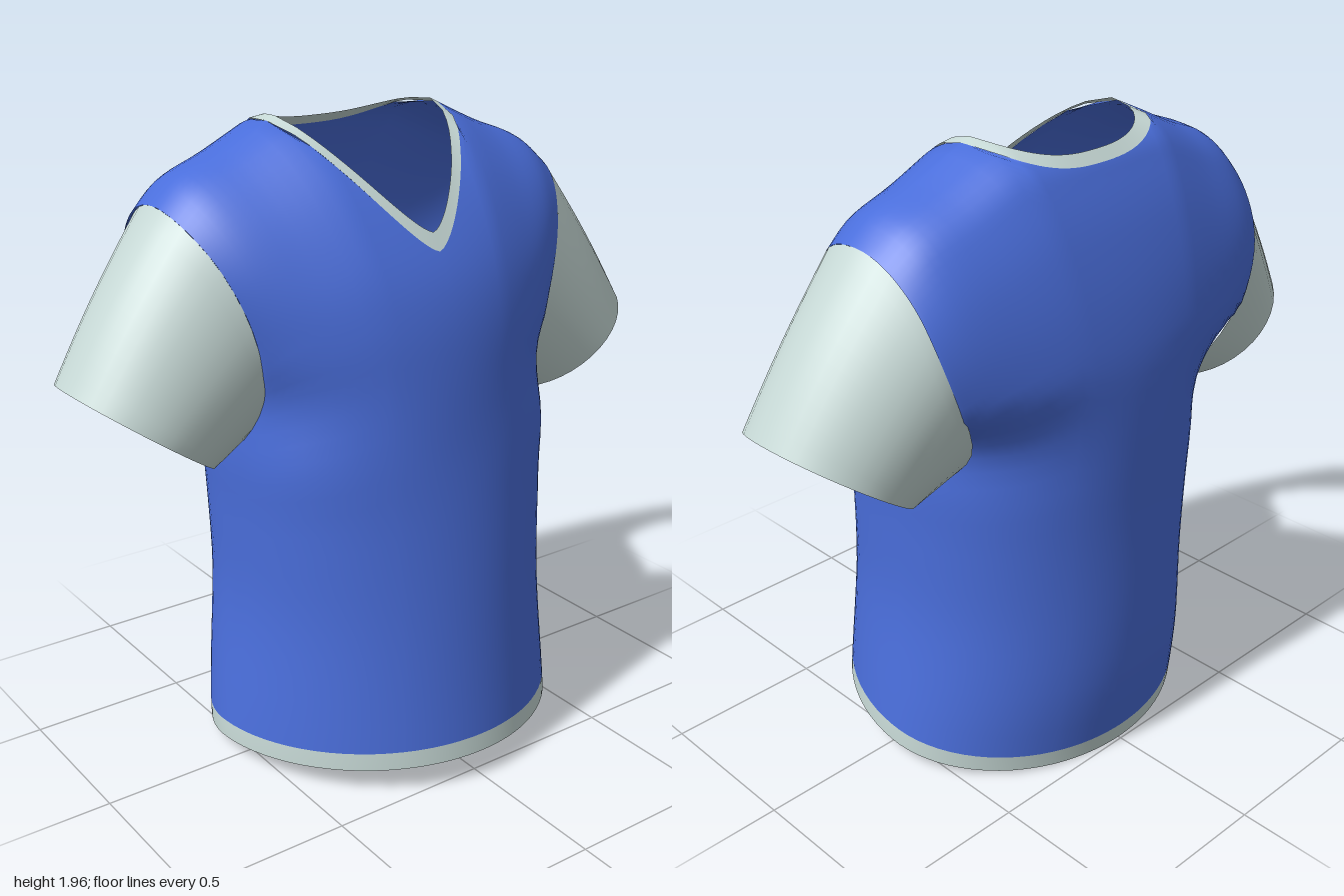
import * as THREE from 'three';
import { mergeGeometries, mergeVertices } from 'three/addons/utils/BufferGeometryUtils.js';

const { lerp, smoothstep, clamp } = THREE.MathUtils;

// Smooth curve through [key, value] pairs
function curve(pts) {
  const slope = (i) => {
    const a = pts[Math.max(i - 1, 0)], b = pts[Math.min(i + 1, pts.length - 1)];
    return (b[1] - a[1]) / (b[0] - a[0]);
  };
  return (k) => {
    k = clamp(k, pts[0][0], pts[pts.length - 1][0]);
    let i = 0;
    while (i < pts.length - 2 && k > pts[i + 1][0]) i++;
    const h = pts[i + 1][0] - pts[i][0], t = (k - pts[i][0]) / h;
    const t2 = t * t, t3 = t2 * t;
    return (2 * t3 - 3 * t2 + 1) * pts[i][1] + (t3 - 2 * t2 + t) * h * slope(i)
      + (3 * t2 - 2 * t3) * pts[i + 1][1] + (t3 - t2) * h * slope(i + 1);
  };
}

// Sheet of quads: point(i, j) for columns 0..n and rows 0..m
function sheet(n, m, point, flip) {
  const pos = [], idx = [];
  for (let j = 0; j <= m; j++) for (let i = 0; i <= n; i++) pos.push(...point(i, j));
  for (let j = 0; j < m; j++) for (let i = 0; i < n; i++) {
    const a = j * (n + 1) + i, b = a + 1, c = a + n + 1, d = c + 1;
    if (flip) idx.push(a, d, b, a, c, d);
    else idx.push(a, b, d, a, d, c);
  }
  const g = new THREE.BufferGeometry();
  g.setAttribute('position', new THREE.Float32BufferAttribute(pos, 3));
  g.setIndex(idx);
  return g;
}

// Weld sheets together with smooth normals
function weld(sheets) {
  const g = mergeVertices(mergeGeometries(sheets), 1e-4);
  g.computeVertexNormals();
  return g;
}

// Shirt proportions: half width, shoulder line, front and back depth
const halfWidth = curve([[0, 0.57], [0.1, 0.565], [0.5, 0.515], [0.8, 0.515], [1.0, 0.525],
  [1.25, 0.515], [1.4, 0.54], [1.6, 0.61], [1.75, 0.685]]);
const shoulderCurve = curve([[0.41, 1.96], [0.66, 1.88], [0.88, 1.82], [1, 1.75]]);
const depth = {
  front: curve([[0, 0.55], [0.09, 0.54], [0.6, 0.475], [1.0, 0.42], [1.34, 0.38], [1.5, 0.34],
    [1.63, 0.275], [1.78, 0.165], [1.88, 0.055], [1.94, -0.05], [1.96, -0.125]]),
  back: curve([[0, -0.49], [0.3, -0.53], [0.8, -0.535], [1.3, -0.545], [1.5, -0.515], [1.7, -0.45],
    [1.84, -0.38], [1.91, -0.325], [1.95, -0.23], [1.96, -0.125]]),
};
// How rounded each cross-section is; lower is boxier
const roundness = {
  front: curve([[0, 0.53], [0.1, 0.52], [0.5, 0.44], [0.85, 0.38], [1.1, 0.38], [1.35, 0.75], [1.75, 0.8]]),
  back: curve([[0, 0.52], [0.1, 0.51], [0.5, 0.45], [1.1, 0.43], [1.35, 0.65], [1.75, 0.7]]),
};
const ARM = { y: 1.385, z: -0.125, ry: 0.365, rz: 0.295 };
const INNER = 0.41, OUTER = 0.45, HEM = 0.055;

// The rear edge of the armhole sits further out than the front edge
const rearFlare = (y) => 0.075 * Math.sin(Math.PI * clamp((y - 1.15) / 0.6, 0, 1));

// Point on the torso; s runs -1..1 across the panel
function torsoPoint(side, s, y) {
  const a = Math.abs(s);
  const k = Math.max(0, (y - 1.1) / (shoulderCurve(a) - 1.1));
  const yArm = y < 1.1 ? y : 1.1 + k * 0.65;
  const yMid = y < 1.1 ? y : 1.1 + k * 0.86;
  const front = side === 'front';
  const open = smoothstep(yArm, 1.05, 1.32);
  const arc = Math.sqrt(Math.max(0, 1 - ((yArm - ARM.y) / ARM.ry) ** 2));
  const zEdge = lerp(-0.04, ARM.z + (front ? 1 : -1) * ARM.rz * arc, open);
  const z = lerp(zEdge, depth[side](yMid), Math.max(0, 1 - s * s) ** roundness[side](yArm));
  const width = halfWidth(yArm) + (front ? 0 : rearFlare(yArm) * a * a);
  return [s * width, y, z];
}

const hemY = (side, s) =>
  0.05 + (side === 'front' ? 0.04 : -0.05) * Math.sqrt(Math.max(0, 1 - s * s));

// Neckline height at fraction f from the centre to the shoulder; V in front, round behind
function neckY(side, f, outer) {
  const end = shoulderCurve(outer ? OUTER : INNER);
  if (side === 'front') return lerp(outer ? 1.605 : 1.655, end, f ** 1.45);
  return lerp(outer ? 1.88 : 1.91, end, f ** 2.6);
}

// Columns crowd toward the side seams and meet the collar corner exactly
const half = [];
for (let i = 0; i <= 9; i++) half.push(OUTER * i / 9);
const a0 = Math.asin(OUTER);
for (let i = 1; i <= 14; i++) half.push(Math.sin(lerp(a0, Math.PI / 2, i / 14)));
const columns = [...half.slice(1).reverse().map((s) => -s), ...half];

const SIDES = ['front', 'back'];

function torso() {
  const rows = 40;
  return weld(SIDES.map((side) => sheet(columns.length - 1, rows, (i, j) => {
    const s = columns[i], a = Math.abs(s);
    const top = a < OUTER ? neckY(side, a / OUTER, true) : shoulderCurve(a);
    const rise = 1 - (1 - j / rows) ** 1.8;
    return torsoPoint(side, s, lerp(hemY(side, s) + HEM, top, rise));
  }, side === 'back')));
}

function hemBand() {
  return weld(SIDES.map((side) => sheet(columns.length - 1, 2, (i, j) =>
    torsoPoint(side, columns[i], hemY(side, columns[i]) + HEM * j / 2), side === 'back')));
}

function collar() {
  const n = 36;
  return weld(SIDES.map((side) => sheet(n, 1, (i, j) => {
    const f = i / n * 2 - 1;
    return torsoPoint(side, f * (j ? INNER : OUTER), neckY(side, Math.abs(f), j === 0));
  }, side === 'back')));
}

// Sleeve lofted straight from the armhole to the tilted cuff ring
function sleeve(mirror) {
  const n = 40, m = 10;
  return weld([sheet(n, m, (i, j) => {
    const t = j / m, angle = i / n * Math.PI * 2;
    const c = Math.cos(angle), s = Math.sin(angle);
    const y0 = ARM.y + ARM.ry * s;
    const x0 = halfWidth(y0) + rearFlare(y0) * Math.max(0, -c) - 0.03 * Math.max(0, -s);
    const belly = 0.012 * Math.sin(Math.PI * t);
    const x = lerp(x0, 0.79 + 0.21 * s, t) + belly * Math.max(0, s);
    const y = lerp(y0, 1.13 + 0.15 * s, t);
    const z = lerp(ARM.z + ARM.rz * c, -0.1 + 0.25 * c, t);
    return [mirror * x, y, z];
  }, mirror > 0)]);
}

export function createModel() {
  const blue = new THREE.MeshStandardMaterial({ color: 0x4a6edb, side: THREE.DoubleSide });
  blue.name = 'blue cloth';
  const grey = new THREE.MeshStandardMaterial({ color: 0xc6d8d5, side: THREE.DoubleSide });
  grey.name = 'pale grey cloth';

  const shirt = new THREE.Group();
  shirt.name = 'shirt';
  const add = (name, geometry, material) => {
    const mesh = new THREE.Mesh(geometry, material);
    mesh.name = name;
    shirt.add(mesh);
  };
  add('torso', torso(), blue);
  add('hemBand', hemBand(), grey);
  add('collar', collar(), grey);
  add('leftSleeve', sleeve(1), grey);
  add('rightSleeve', sleeve(-1), grey);
  return shirt;
}
